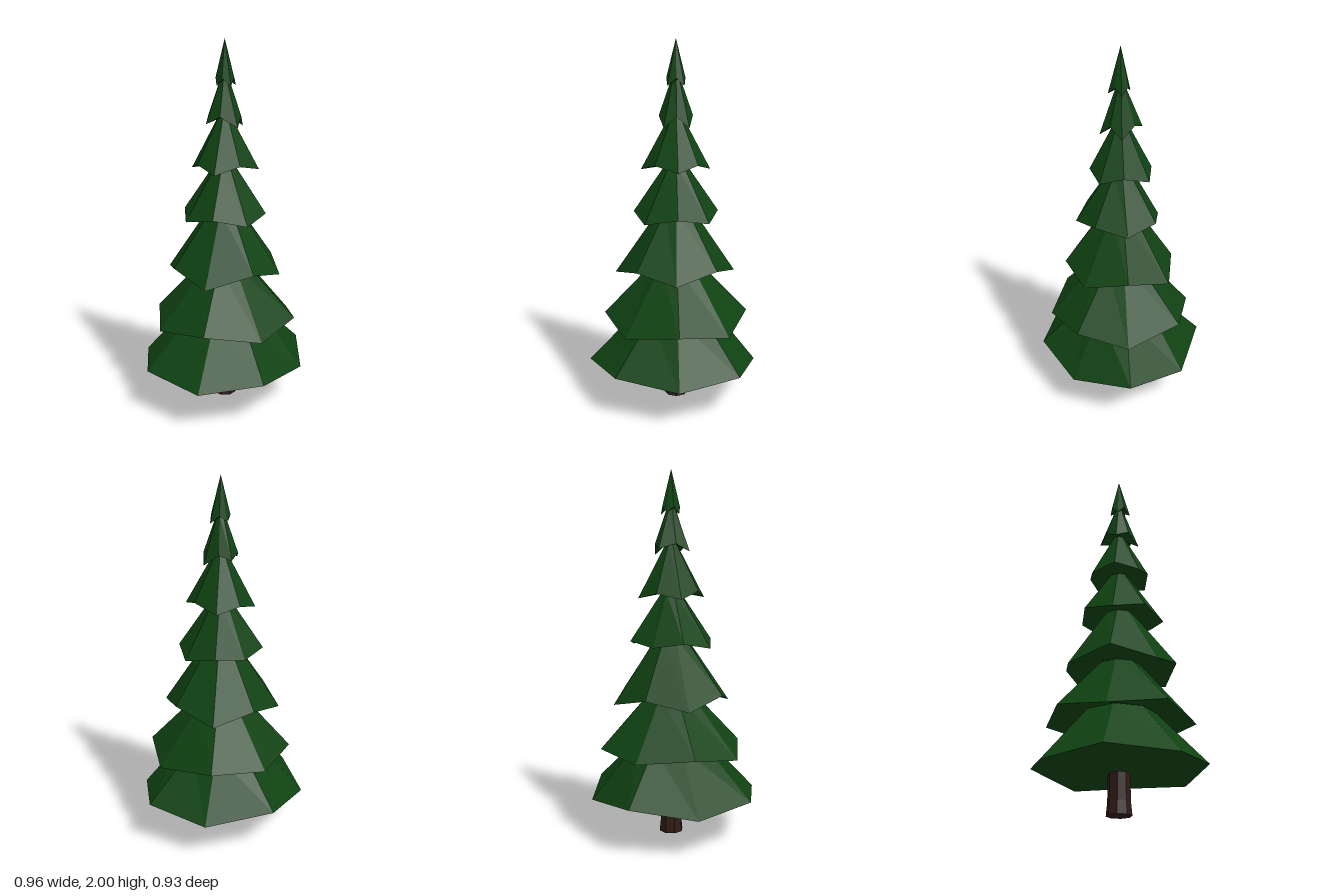
import * as THREE from 'three';

const SIDES = 8;

// Octagonal ring; odd corners (the diagonals) may have their own radius and height.
function ring(r, y, rDiag = r, yDiag = y, nudges = []) {
  return Array.from({ length: SIDES }, (_, i) => {
    const a = (i / SIDES) * Math.PI * 2;
    const rad = i % 2 ? rDiag : r;
    const [dx, dy, dz] = nudges[i] || [0, 0, 0];
    return [Math.cos(a) * rad + dx, (i % 2 ? yDiag : y) + dy, Math.sin(a) * rad + dz];
  });
}

// Flat-faced skin through rings listed from bottom to top.
function loft(rings) {
  const pos = [];
  for (let k = 0; k < rings.length - 1; k++) {
    for (let i = 0; i < SIDES; i++) {
      const j = (i + 1) % SIDES;
      const [a, b, c, d] = [rings[k][i], rings[k + 1][i], rings[k + 1][j], rings[k][j]];
      const same = (p, q) => p.every((v, n) => v === q[n]);
      if (!same(b, c)) pos.push(...a, ...b, ...c);
      if (!same(a, d)) pos.push(...a, ...c, ...d);
    }
  }
  const g = new THREE.BufferGeometry();
  g.setAttribute('position', new THREE.Float32BufferAttribute(pos, 3));
  g.computeVertexNormals();
  return g;
}

// A point repeated as a ring, so the fan closes.
const point = (y) => Array.from({ length: SIDES }, () => [0, y, 0]);

export function createModel() {
  const tree = new THREE.Group();
  tree.name = 'pineTree';
  const needles = new THREE.MeshStandardMaterial({ color: 0x0f4212, flatShading: true });
  const bark = new THREE.MeshStandardMaterial({ color: 0x2e1c16, flatShading: true });

  // Tiers: drooping rim (axis and diagonal corners), then the neck above it.
  const tiers = [
    { rim: [0.48, 0.24, 0.465, 0.21], neck: [0.2, 0.52],
      nudges: [[0, 0.01, 0.02], [-0.016, 0, -0.014], [-0.02, 0, -0.02], [-0.021, 0.005, 0.016],
        [-0.003, -0.005, 0], [-0.006, 0, -0.001], [0, 0.015, 0.015], [0.006, 0, 0.032]] },
    { rim: [0.402, 0.455, 0.4, 0.5], neck: [0.12, 0.795],
      nudges: [[0, 0, 0.02], , , , , [0, 0, 0.015], [0, 0.02, 0.012]] },
    { rim: [0.31, 0.8, 0.325, 0.74], neck: [0.085, 1.1],
      nudges: [[-0.01, 0, 0.005], [-0.015, 0.01, 0], , [-0.015, -0.005, 0], , , [0, -0.01, 0.02]] },
    { rim: [0.237, 1.05, 0.23, 1.085], neck: [0.053, 1.345],
      nudges: [, , [0, 0, 0.008], , , , [0, 0.01, 0.03]] },
    { rim: [0.165, 1.355, 0.185, 1.315], neck: [0.034, 1.6],
      nudges: [[0, 0, 0.008], [0.005, 0.01, 0], , [-0.005, 0, 0], , , [0, -0.01, 0]] },
    { rim: [0.112, 1.56, 0.09, 1.605], neck: [0.025, 1.79],
      nudges: [[-0.007, -0.015, 0.01], , [0.015, -0.01, 0], , [0, 0.005, 0], , [0.015, 0.02, 0]] },
    { rim: [0.06, 1.76, 0.05, 1.8], neck: [0, 2],
      nudges: [[0.005, 0, 0.005], , [0, 0, 0.005], , [0.012, 0, 0], , [0, 0.01, 0.01]] },
  ];
  let inner = point(0.24);
  tiers.forEach(({ rim, neck, nudges }, i) => {
    const top = neck[0] ? ring(...neck) : point(neck[1]);
    const tier = new THREE.Mesh(loft([inner, ring(...rim, nudges), top]), needles);
    tier.name = `branchTier${i + 1}`;
    tree.add(tier);
    inner = top;
  });

  // Trunk, flared toward the ground
  const trunk = new THREE.Mesh(
    loft([point(0), ring(0.067, 0), ring(0.06, 0.07), ring(0.058, 0.212), point(0.212)]), bark);
  trunk.name = 'trunk';
  tree.add(trunk);

  return tree;
}
